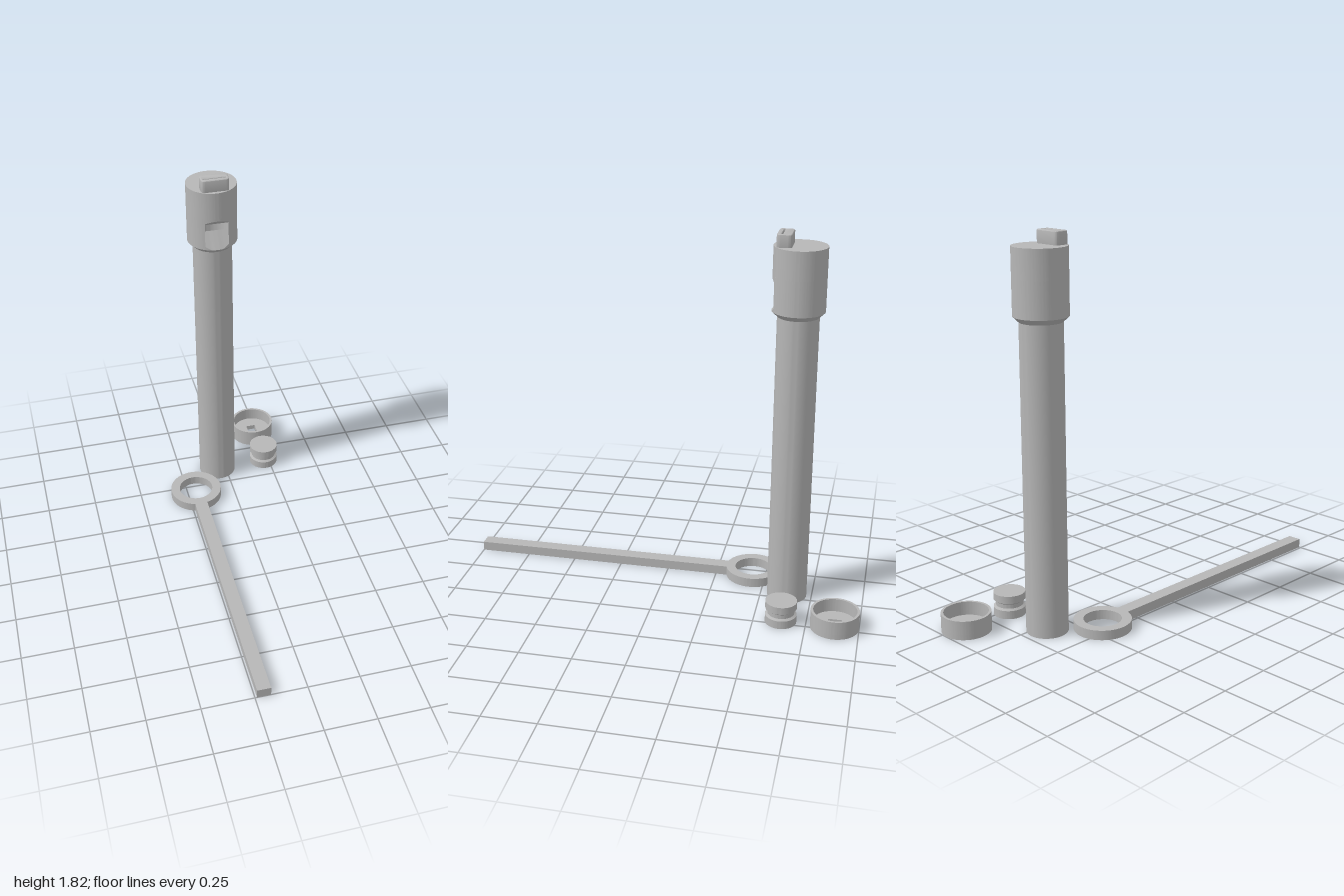
import * as THREE from 'three';
import { toCreasedNormals } from 'three/addons/utils/BufferGeometryUtils.js';

const SEG = 64;
const R = 0.123;      // head radius
const BORE = 0.083;   // inside of the pipe
const HALF = 0.058;   // half width of the sound window

export function createModel() {
  const model = new THREE.Group();
  const grey = new THREE.MeshStandardMaterial({ color: 0xb6b6b6 });
  grey.name = 'plain grey';

  const group = (name, x, z) => {
    const g = new THREE.Group();
    g.name = name;
    g.position.set(x, 0, z);
    model.add(g);
    return g;
  };
  const add = (parent, name, geometry) => {
    const mesh = new THREE.Mesh(toCreasedNormals(geometry, 0.5), grey);
    mesh.name = name;
    parent.add(mesh);
    return mesh;
  };
  const circle = (r, C = THREE.Shape) => new C().absarc(0, 0, r, 0, Math.PI * 2, false);
  // rectangle in plan, z measured towards the front
  const rect = (w, d, z = 0, C = THREE.Path) => {
    const s = new C();
    s.moveTo(-w / 2, -z - d / 2);
    s.lineTo(w / 2, -z - d / 2);
    s.lineTo(w / 2, -z + d / 2);
    s.lineTo(-w / 2, -z + d / 2);
    s.closePath();
    return s;
  };
  // stand a plan shape up between two heights
  const slab = (shape, y0, y1, holes = []) => {
    shape.holes.push(...holes);
    const g = new THREE.ExtrudeGeometry(shape, { depth: y1 - y0, bevelEnabled: false, curveSegments: SEG });
    return g.rotateX(-Math.PI / 2).translate(0, y0, 0);
  };
  const lathe = (pts) => new THREE.LatheGeometry(pts.map(([r, y]) => new THREE.Vector2(r, y)), SEG);

  // prism across x whose [z, y] section follows the round outside of the head
  const loft = (section) => {
    const steps = 16, pos = [], idx = [];
    let n = 0;
    for (let i = 0; i <= steps; i++) {
      const x = -HALF + (2 * HALF * i) / steps;
      const pts = section(Math.sqrt(R * R - x * x));
      n = pts.length;
      pts.forEach(([z, y]) => pos.push(x, y, z));
    }
    for (let i = 0; i < steps; i++) {
      for (let j = 0; j < n; j++) {
        const a = i * n + j, b = i * n + (j + 1) % n;
        idx.push(a, b, b + n, a, b + n, a + n);
      }
    }
    const e = steps * n;
    for (let j = 1; j < n - 1; j++) idx.push(e, e + j, e + j + 1, 0, j + 1, j);
    const g = new THREE.BufferGeometry();
    g.setAttribute('position', new THREE.Float32BufferAttribute(pos, 3));
    g.setIndex(idx);
    return g;
  };

  // Pipe with flared collar
  const whistle = group('whistle', -0.044, -0.628);
  add(whistle, 'pipe', lathe([
    [BORE, 0], [0.097, 0], [0.097, 1.43], [R, 1.455], [BORE, 1.455], [BORE, 0],
  ]));

  // Head wall, open at the front for the window
  const a = Math.asin(HALF / R), b = Math.asin(HALF / BORE), q = Math.PI / 2;
  const wall = new THREE.Shape();
  wall.absarc(0, 0, R, -q + a, 3 * q - a, false);
  wall.absarc(0, 0, BORE, 3 * q - b, -q + b, true);
  wall.closePath();
  add(whistle, 'headWall', slab(wall, 1.455, 1.62));

  // Sloping blade below the window and slanted lintel above it
  add(whistle, 'blade', loft((zo) => [
    [zo, 1.455], [0.07, 1.455], [0.07, 1.535],
    [zo, Math.max(1.4551, 1.535 - (zo - 0.07) * 1.6)],
  ]));
  add(whistle, 'lintel', loft((zo) => [
    [0.1, 1.585], [0.05, 1.585], [0.05, 1.62], [zo, 1.62], [zo, 1.585 + zo - 0.1],
  ]));
  add(whistle, 'borePlug', slab(circle(BORE + 0.001), 1.585, 1.621));
  add(whistle, 'headTop', slab(circle(R), 1.62, 1.755, [rect(0.118, 0.012, 0.081)]));

  // Rounded mouthpiece with a narrow air slot
  const mw = 0.0675, z0 = 0.035, z1 = 0.105, c = 0.018;
  const mouth = new THREE.Shape();
  mouth.moveTo(-mw + c, -z1);
  mouth.lineTo(mw - c, -z1);
  mouth.quadraticCurveTo(mw, -z1, mw, -z1 + c);
  mouth.lineTo(mw, -z0 - c);
  mouth.quadraticCurveTo(mw, -z0, mw - c, -z0);
  mouth.lineTo(-mw + c, -z0);
  mouth.quadraticCurveTo(-mw, -z0, -mw, -z0 - c);
  mouth.lineTo(-mw, -z1 + c);
  mouth.quadraticCurveTo(-mw, -z1, -mw + c, -z1);
  mouth.holes.push(rect(0.108, 0.005, 0.081));
  const mouthGeo = new THREE.ExtrudeGeometry(mouth, {
    depth: 0.063, bevelSize: 0.006, bevelThickness: 0.006, bevelOffset: -0.006,
    bevelSegments: 3, curveSegments: 8,
  });
  add(whistle, 'mouthpiece', mouthGeo.rotateX(-Math.PI / 2).translate(0, 1.746, 0));

  // Ring on a long rod
  const rod = group('ringRod', -0.207, -0.435);
  add(rod, 'ring', slab(circle(0.134), 0, 0.046, [circle(0.088, THREE.Path)]));
  add(rod, 'rod', new THREE.BoxGeometry(0.066, 0.046, 1.325).translate(0, 0.023, 0.7725));

  // Shallow cup with a rectangular hole in its floor
  const cup = group('endCap', 0.222, -0.885);
  add(cup, 'capFloor', slab(circle(0.115), 0, 0.025, [rect(0.05, 0.066)]));
  add(cup, 'capWall', slab(circle(0.115), 0.025, 0.09, [circle(0.103, THREE.Path)]));

  // Grooved plug with a blind socket underneath
  const plug = group('plug', 0.222, -0.63);
  add(plug, 'plugBase', slab(circle(0.075), 0, 0.04, [rect(0.045, 0.06)]));
  add(plug, 'plugTop', lathe([
    [0, 0.04], [0.075, 0.04], [0.064, 0.048], [0.064, 0.068], [0.075, 0.076], [0.075, 0.112], [0, 0.112],
  ]));

  return model;
}
